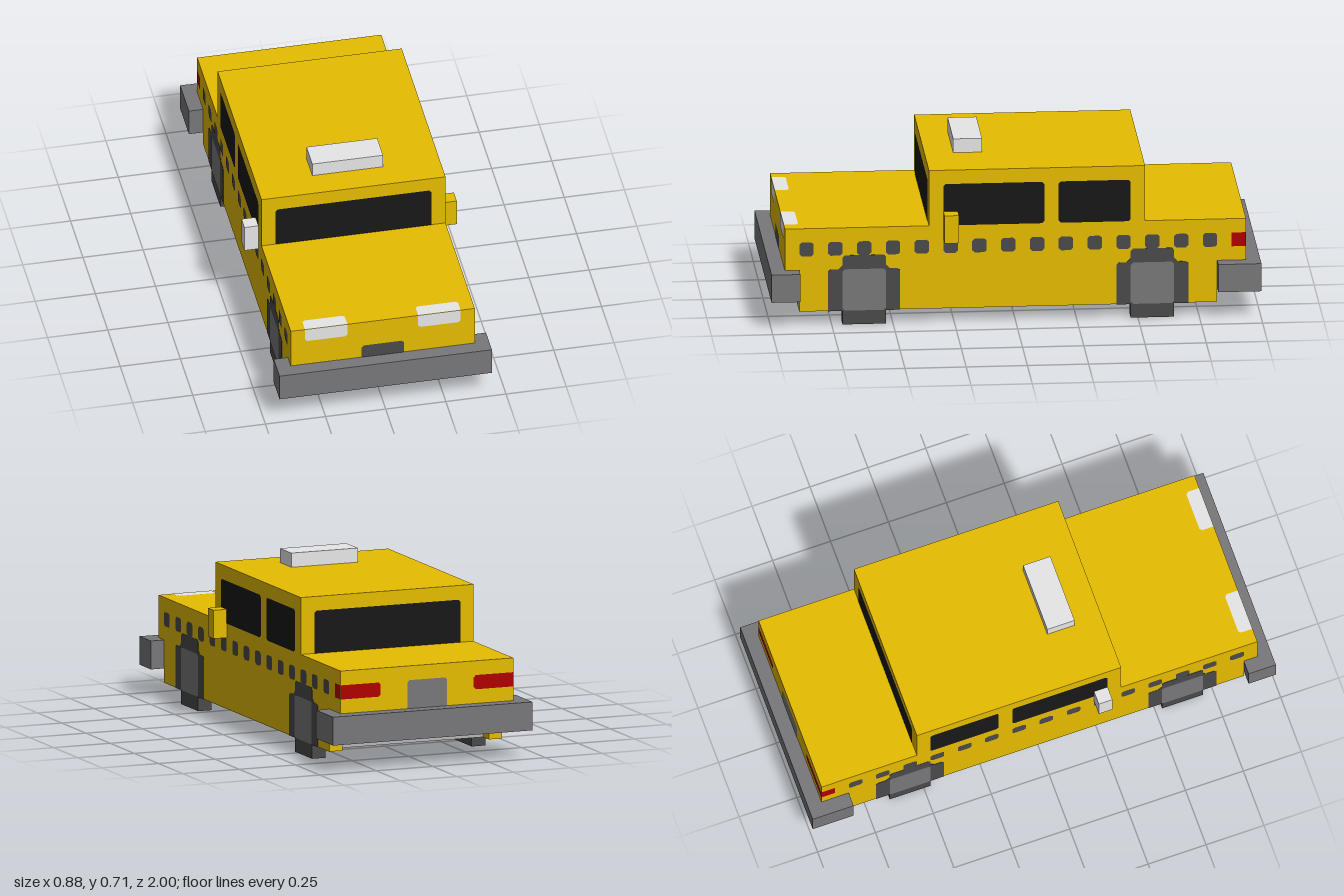
import * as THREE from 'three';

// All sizes below are in blocks; the car is 34 blocks long.
const U = 1 / 17;

export function createModel() {
  const car = new THREE.Group();
  car.name = 'taxi';

  const material = (name, color) => {
    const m = new THREE.MeshStandardMaterial({ color });
    m.name = name;
    return m;
  };
  const yellow = material('bodyYellow', 0xe6bc00);
  const glass = material('glassBlack', 0x181818);
  const rubber = material('darkGrey', 0x4a4a4a);
  const steel = material('midGrey', 0x78787a);
  const trimGrey = material('trimGrey', 0xb8b8b8);
  const pale = material('paleGrey', 0xe8e8e8);
  const blue = material('fogLampBlue', 0x329ad4);
  const red = material('tailLightRed', 0xb00000);

  const add = (name, geometry, mat) => {
    const mesh = new THREE.Mesh(geometry, mat);
    mesh.name = name;
    car.add(mesh);
    return mesh;
  };

  // Box from its limits on each axis
  const box = (name, mat, x0, x1, y0, y1, z0, z1) =>
    add(name, new THREE.BoxGeometry((x1 - x0) * U, (y1 - y0) * U, (z1 - z0) * U), mat)
      .position.set((x0 + x1) / 2 * U, (y0 + y1) / 2 * U, (z0 + z1) / 2 * U);

  const polygon = (points) => new THREE.Shape(points.map(([x, y]) => new THREE.Vector2(x * U, y * U)));

  // Rectangle with clipped corners; corners lists which of bl, br, tr, tl are clipped
  const clipped = (u0, u1, v0, v1, corners) => {
    const c = 0.16;
    const pts = [];
    const corner = (key, x, y, ax, ay, bx, by) => {
      if (corners.includes(key)) pts.push([x + ax * c, y + ay * c], [x + bx * c, y + by * c]);
      else pts.push([x, y]);
    };
    corner('bl', u0, v0, 0, 1, 1, 0);
    corner('br', u1, v0, -1, 0, 0, 1);
    corner('tr', u1, v1, 0, -1, -1, 0);
    corner('tl', u0, v1, 1, 0, 0, -1);
    return polygon(pts);
  };

  // Painted detail lying just outside a face of the body
  const LIFT = 0.02;
  const ALL = ['bl', 'br', 'tr', 'tl'];
  const turn = {
    front: [0, 0], back: [0, Math.PI], plusX: [0, Math.PI / 2],
    minusX: [0, -Math.PI / 2], top: [-Math.PI / 2, 0],
  };
  const decal = (name, mat, face, dist, u0, u1, v0, v1, corners = ALL) => {
    const g = new THREE.ShapeGeometry(clipped(u0, u1, v0, v1, corners));
    g.translate(0, 0, (dist + LIFT) * U);
    const [rx, ry] = turn[face];
    add(name, g.rotateX(rx).rotateY(ry), mat);
  };
  // Same detail on both flanks, from its z limits
  const flank = (name, mat, z0, z1, y0, y1, corners = ALL, dist = 6.5) => {
    decal(name + 'Left', mat, 'plusX', dist, -z1, -z0, y0, y1, corners);
    decal(name + 'Right', mat, 'minusX', dist, z0, z1, y0, y1, corners);
  };

  // Body shell
  box('cabin', yellow, -6.5, 6.5, 7, 11, -9, 6);
  box('upperBody', yellow, -6.5, 6.5, 4, 7, -16, 16);
  box('lowerBody', yellow, -6.5, 6.5, 2, 4, -14, 15);
  box('floor', pale, -5.5, 5.5, 1, 2, -12, 14);
  box('frontSkirt', trimGrey, -4.5, 4.5, 1, 2, 14, 15);
  box('rearSkirt', trimGrey, -5.5, 5.5, 1, 2, -13, -12);
  box('frontBumper', steel, -7.5, 7.5, 2, 4, 15, 17);
  box('rearBumper', steel, -7.5, 7.5, 2, 4, -17, -14);
  box('roofSign', pale, -2.5, 2.5, 11, 12, 2, 4);
  box('leftMirror', yellow, 6.5, 7.5, 6, 8, 4, 5);
  box('rightMirror', pale, -7.5, -6.5, 6, 8, 4, 5);

  // Sills and fog lamps
  for (const s of [-1, 1]) {
    box('sill', yellow, s * 6 - 0.5, s * 6 + 0.5, 1, 2, -14, 15);
    box('fogLamp', blue, s * 5 - 0.5, s * 5 + 0.5, 1, 2, 14, 15);
  }

  // Wheels: stepped tyre profile almost flush with the flank, plus a hub plate
  const tyre = new THREE.ExtrudeGeometry(polygon([
    [-1.5, 0], [1.5, 0], [1.5, 0.98], [2.5, 0.98], [2.5, 3.84], [2.34, 4], [1.8, 4], [1.5, 4.3],
    [1.5, 4.84], [1.34, 5], [-1.34, 5], [-1.5, 4.84], [-1.5, 4.3], [-1.8, 4], [-2.34, 4],
    [-2.5, 3.84], [-2.5, 0.98], [-1.5, 0.98],
  ]), { depth: (1 + LIFT) * U, bevelEnabled: false });
  tyre.translate(0, 0, 5.5 * U);
  for (const z of [10.5, -9.5]) {
    for (const s of [-1, 1]) {
      const wheel = add('wheel', tyre, rubber);
      wheel.rotation.y = s * Math.PI / 2;
      wheel.position.z = z * U;
    }
    flank('hub', steel, z - 1.5, z + 1.5, 1, 4, ALL, 6.5 + LIFT);
  }

  // Windows
  decal('windscreen', glass, 'front', 6, -5.5, 5.5, 7, 10, ['tl', 'tr']);
  decal('rearWindow', glass, 'back', 9, -5.5, 5.5, 7, 10, ['tl', 'tr']);
  flank('frontWindow', glass, -2, 5, 7, 10);
  flank('backWindow', glass, -8, -3, 7, 10);

  // Row of checks along the flanks, ending in the tail light
  for (let z = 14; z >= -14; z -= 2) flank('check', rubber, z, z + 1, 5, 6);
  flank('tailLightSide', red, -16, -15, 5, 6, []);

  // Lights at the ends
  for (const s of [-1, 1]) {
    decal('headlight', pale, 'front', 16, s * 4 - 1.5, s * 4 + 1.5, 6, 7, ['bl', 'br']);
    decal('headlightTop', pale, 'top', 7, s * 4 - 1.5, s * 4 + 1.5, -16, -15, ['tl', 'tr']);
    decal('tailLight', red, 'back', 16, s * 5 - 1.5, s * 5 + 1.5, 5, 6, s > 0 ? ['bl', 'tl'] : ['br', 'tr']);
  }
  decal('frontGrille', rubber, 'front', 16, -1.5, 1.5, 4, 5, ['tl', 'tr']);
  decal('rearPlate', steel, 'back', 16, -1.5, 1.5, 4, 6, ['tl', 'tr']);

  return car;
}
